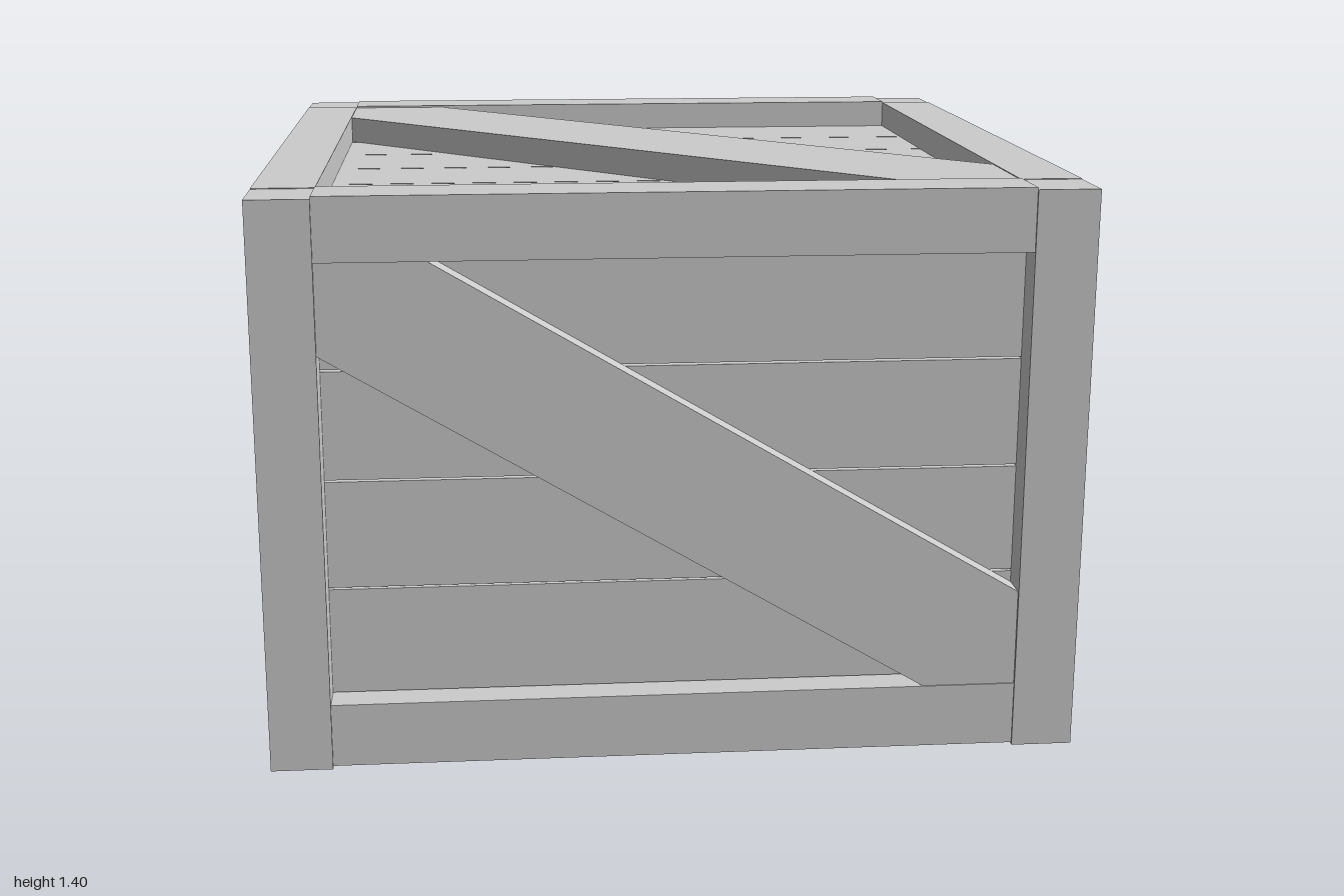
import * as THREE from 'three';

const material = new THREE.MeshStandardMaterial({ color: 0xcccccc, flatShading: true });

const BEAM = 0.15;      // beam section
const RECESS = 0.075;   // depth of the plank panels behind the beams
const HALF_X = 0.99, HALF_Z = 0.992, HEIGHT = 1.4;
const OPEN = 0.84;                    // half opening in x and z
const LOW = 0.163, HIGH = 1.248;      // opening in y

// Box given by its bounds
function boxBetween(name, x0, x1, y0, y1, z0, z1) {
  const mesh = new THREE.Mesh(new THREE.BoxGeometry(x1 - x0, y1 - y0, z1 - z0), material);
  mesh.position.set((x0 + x1) / 2, (y0 + y1) / 2, (z0 + z1) / 2);
  mesh.name = name;
  return mesh;
}

// Diagonal board that fills two opposite corners of a w x h opening.
// top and bottom hold the [x, y] lengths cut off along the opening at each end.
function brace(w, h, top, bottom, rising) {
  const s = rising ? -1 : 1, a = w / 2, b = h / 2;
  const points = [
    [-a, b], [-a + top[0], b], [a, -b + bottom[1]],
    [a, -b], [a - bottom[0], -b], [-a, b - top[1]],
  ].map(([x, y]) => new THREE.Vector2(x * s, y));
  const geometry = new THREE.ExtrudeGeometry(new THREE.Shape(points), { depth: RECESS, bevelEnabled: false });
  const mesh = new THREE.Mesh(geometry, material);
  mesh.position.z = -RECESS - 0.003;
  mesh.name = 'diagonalBrace';
  return mesh;
}

// Recessed planks and brace, facing +z with the beam face at z = 0
function panel(name, { w, h, count, pitch, shift = 0, top, bottom, rising }) {
  const group = new THREE.Group();
  group.name = name;
  const gap = 0.005, thick = 0.04;
  for (let i = 0; i < count; i++) {
    const y = (i - (count - 1) / 2) * pitch + shift;
    const plank = boxBetween('plank', -w / 2 - 0.02, w / 2 + 0.02,
      y - pitch / 2 + gap / 2, y + pitch / 2 - gap / 2, -RECESS - thick, -RECESS);
    group.add(plank);
  }
  group.add(brace(w, h, top, bottom, rising));
  return group;
}

export function createModel() {
  const model = new THREE.Group();
  model.name = 'crate';

  // Corner posts; those on the -x side stand slightly proud
  const postTop = HEIGHT - 0.003;
  model.add(
    boxBetween('cornerPost', -HALF_X, -OPEN, 0, postTop, OPEN, 1),
    boxBetween('cornerPost', -HALF_X, -OPEN, 0, postTop, -1, -OPEN),
    boxBetween('cornerPost', OPEN, HALF_X, 0, postTop, OPEN, 0.997),
    boxBetween('cornerPost', OPEN, HALF_X, 0, postTop, -0.986, -OPEN),
  );

  // Horizontal rails at the bottom and the top
  for (const [y0, y1] of [[0.005, LOW], [HIGH, HEIGHT + 0.002]]) {
    for (const s of [-1, 1]) {
      const z = s * (OPEN + HALF_Z) / 2, dz = (HALF_Z - OPEN) / 2;
      model.add(boxBetween('crossRail', -OPEN, OPEN, y0, y1, z - dz, z + dz));
      const x = s * (OPEN + HALF_X) / 2, dx = BEAM / 2;
      model.add(boxBetween('sideRail', x - dx, x + dx, Math.max(0, y0 - 0.003), y1 - 0.003, -OPEN, OPEN));
    }
  }

  // Wall panels, opposite walls alike
  const wall = { w: OPEN * 2, h: HIGH - LOW, count: 4, pitch: (HIGH - LOW) / 4 };
  const wide = { ...wall, top: [0.26, 0.22], bottom: [0.23, 0.24], rising: false };
  const side = { ...wall, top: [0.3, 0.21], bottom: [0.2, 0.255], rising: true };
  const midY = (LOW + HIGH) / 2;
  const walls = [
    ['frontPanel', wide, 0, HALF_Z], ['rightPanel', side, 1, HALF_X],
    ['backPanel', wide, 2, HALF_Z], ['leftPanel', side, 3, HALF_X],
  ];
  for (const [name, spec, turns, distance] of walls) {
    const group = panel(name, spec);
    const angle = turns * Math.PI / 2;
    group.rotation.y = angle;
    group.position.set(Math.sin(angle) * distance, midY, Math.cos(angle) * distance);
    model.add(group);
  }

  // Lid and floor panels, with crossing diagonals
  const flat = {
    w: OPEN * 2, h: OPEN * 2, count: 6, pitch: 0.285, shift: -0.015,
    top: [0.27, 0.265], bottom: [0.265, 0.27], rising: false,
  };
  const lid = panel('lidPanel', flat);
  lid.rotation.x = -Math.PI / 2;
  lid.position.y = HEIGHT;
  const floor = panel('floorPanel', flat);
  floor.rotation.x = Math.PI / 2;
  floor.position.y = 0.003;
  model.add(lid, floor);

  return model;
}
